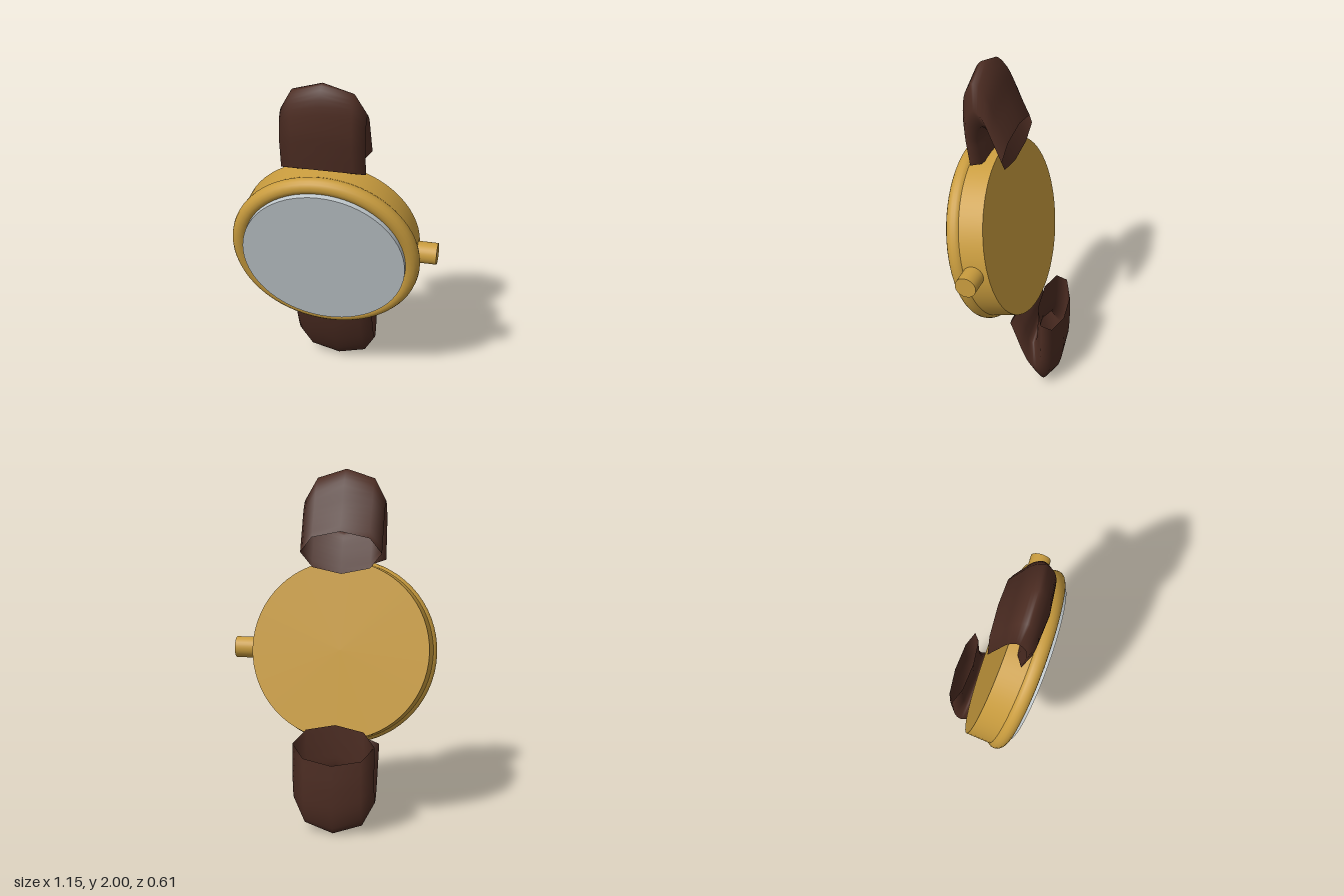
import * as THREE from 'three';

const gold = new THREE.MeshStandardMaterial({ color: 0xc99c3e });
gold.name = 'gold';
const silver = new THREE.MeshStandardMaterial({ color: 0xc0c8cc });
silver.name = 'silver';
const leather = new THREE.MeshStandardMaterial({ color: 0x4c2c22, side: THREE.DoubleSide });
leather.name = 'brown leather';

function addMesh(parent, name, geometry, material) {
  const mesh = new THREE.Mesh(geometry, material);
  mesh.name = name;
  parent.add(mesh);
  return mesh;
}

// Disc along z from z0 to z1
function disc(rBack, rFront, z0, z1) {
  return new THREE.CylinderGeometry(rFront, rBack, z1 - z0, 64)
    .rotateX(Math.PI / 2)
    .translate(0, 0, (z0 + z1) / 2);
}

// Open eight-sided tube; each station gives the outer and inner edge as [z, y, z, y]
function strapGeometry(stations) {
  const sides = 8, steps = 28, halfWidth = 0.23;
  const curve = (k) => new THREE.CatmullRomCurve3(
    stations.map((s) => new THREE.Vector3(0, s[k + 1], s[k])));
  const outer = curve(0), inner = curve(2);
  const positions = [], index = [];
  for (let i = 0; i <= steps; i++) {
    const o = outer.getPoint(i / steps), n = inner.getPoint(i / steps);
    const c = o.clone().add(n).multiplyScalar(0.5);
    const r = o.clone().sub(c);
    for (let j = 0; j < sides; j++) {
      const a = (j / sides) * Math.PI * 2;
      positions.push(Math.sin(a) * halfWidth, c.y + r.y * Math.cos(a), c.z + r.z * Math.cos(a));
      if (i < steps) {
        const p = i * sides + j, q = i * sides + (j + 1) % sides;
        index.push(p, p + sides, q, q, p + sides, q + sides);
      }
    }
  }
  const g = new THREE.BufferGeometry();
  g.setAttribute('position', new THREE.Float32BufferAttribute(positions, 3));
  g.setIndex(index);
  g.computeVertexNormals();
  return g;
}

export function createModel() {
  const model = new THREE.Group();
  model.name = 'wristwatch';

  // Case leaning forward, its back plate at local z = 0
  const watchCase = new THREE.Group();
  watchCase.name = 'watchCase';
  watchCase.position.set(-0.042, 1.005, -0.03);
  watchCase.rotation.x = 0.22;
  model.add(watchCase);

  addMesh(watchCase, 'caseBody', disc(0.503, 0.515, 0, 0.174), gold);
  addMesh(watchCase, 'bezel', new THREE.TorusGeometry(0.485, 0.046, 16, 64), gold).position.z = 0.174;
  addMesh(watchCase, 'dial', disc(0.457, 0.457, 0.12, 0.24), silver);

  // Winding crown
  const crown = addMesh(watchCase, 'crown', new THREE.CylinderGeometry(0.06, 0.06, 0.165, 32), gold);
  crown.rotation.z = -Math.PI / 2;
  crown.position.set(0.5325, 0, 0.087);

  // Upper strap, from its back end over the top to the case
  const upper = strapGeometry([
    [-0.016, 1.668, 0.01, 1.43],
    [0.05, 1.80, 0.055, 1.55],
    [0.12, 1.945, 0.095, 1.635],
    [0.19, 2.0, 0.118, 1.652],
    [0.24, 1.93, 0.138, 1.64],
    [0.256, 1.77, 0.148, 1.60],
    [0.245, 1.64, 0.135, 1.53],
    [0.229, 1.524, 0.122, 1.465],
  ]);
  addMesh(model, 'upperStrap', upper, leather).position.x = -0.042;

  // Lower strap, from the case under the bottom to its back end
  const lower = strapGeometry([
    [-0.025, 0.43, -0.075, 0.525],
    [-0.07, 0.28, -0.115, 0.46],
    [-0.13, 0.14, -0.13, 0.41],
    [-0.195, 0.04, -0.143, 0.37],
    [-0.25, 0.003, -0.157, 0.36],
    [-0.29, 0.09, -0.17, 0.385],
    [-0.303, 0.25, -0.175, 0.47],
    [-0.298, 0.41, -0.176, 0.61],
  ]);
  addMesh(model, 'lowerStrap', lower, leather).position.x = -0.042;

  return model;
}
